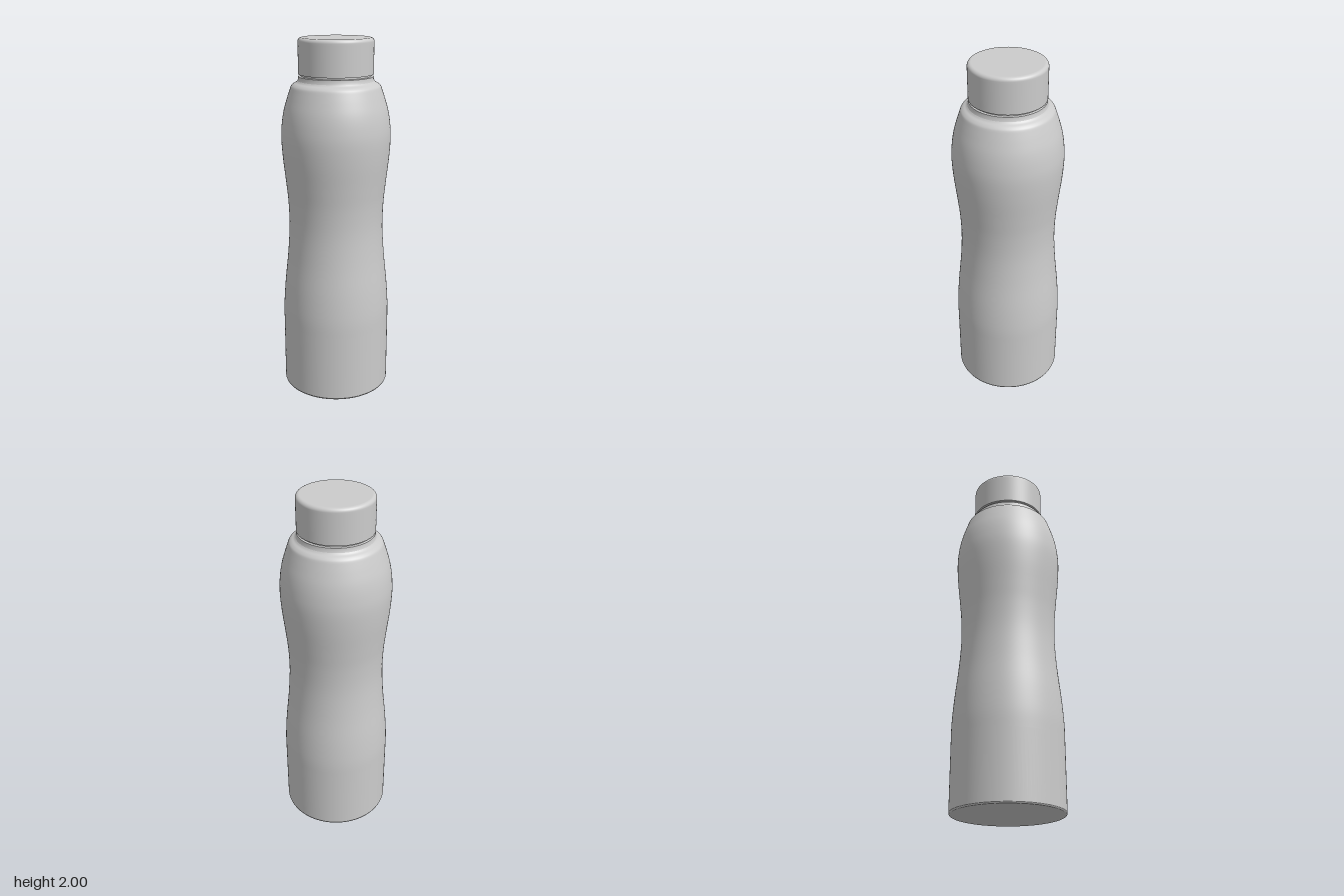
import * as THREE from 'three';

const SEGMENTS = 96;
const material = new THREE.MeshStandardMaterial({ color: 0xcccccc });
const toVectors = (pairs) => pairs.map(([r, y]) => new THREE.Vector2(r, y));

// Turned surface; profile of [radius, height] runs from bottom to top
function turned(name, points) {
  const mesh = new THREE.Mesh(new THREE.LatheGeometry(points, SEGMENTS), material);
  mesh.name = name;
  return mesh;
}

// Flat round face, looking up or down
function disc(name, radius, y, up) {
  const mesh = new THREE.Mesh(new THREE.CircleGeometry(radius, SEGMENTS), material);
  mesh.rotation.x = up ? -Math.PI / 2 : Math.PI / 2;
  mesh.position.y = y;
  mesh.name = name;
  return mesh;
}

export function createModel() {
  const model = new THREE.Group();
  model.name = 'bottle';

  // Straight lower wall with a tiny rounded foot
  model.add(disc('base', 0.299, 0, false));
  model.add(turned('foot', toVectors([[0.299, 0], [0.303, 0.002], [0.305, 0.008]])));

  // Body: straight wall, gripped waist, chest and tapering upper part
  const waist = new THREE.SplineCurve(toVectors([
    [0.305, 0.38], [0.304, 0.48], [0.294, 0.62], [0.275, 0.8], [0.265, 0.96],
    [0.268, 1.1], [0.279, 1.22], [0.294, 1.36], [0.3, 1.47], [0.295, 1.55],
    [0.283, 1.62], [0.264, 1.685], [0.247, 1.735],
  ]));
  // Rounded shoulder
  const shoulder = new THREE.SplineCurve(toVectors([
    [0.247, 1.735], [0.241, 1.748], [0.229, 1.759], [0.215, 1.767], [0.207, 1.775],
  ]));
  model.add(turned('body', [
    ...toVectors([[0.305, 0.008]]), ...waist.getPoints(60), ...shoulder.getPoints(16).slice(1),
  ]));

  // Neck ring and the narrow groove below the cap
  model.add(turned('neckRing', toVectors([[0.207, 1.775], [0.203, 1.785], [0.202, 1.798]])));
  model.add(turned('neckRingTop', toVectors([[0.202, 1.798], [0.19, 1.8]])));
  model.add(turned('neckGroove', toVectors([[0.19, 1.8], [0.19, 1.81]])));

  // Cap with a rounded top rim
  const cap = new THREE.Group();
  cap.name = 'cap';
  const rim = [];
  for (let i = 0; i <= 8; i++) {
    const a = (i / 8) * Math.PI / 2;
    rim.push(new THREE.Vector2(0.183 + 0.02 * Math.cos(a), 1.98 + 0.02 * Math.sin(a)));
  }
  cap.add(turned('capWall', [...toVectors([[0.203, 1.81], [0.203, 1.97]]), ...rim]));
  cap.add(disc('capTop', 0.183, 2, true));
  cap.add(disc('capUnderside', 0.203, 1.81, false));
  model.add(cap);

  return model;
}
